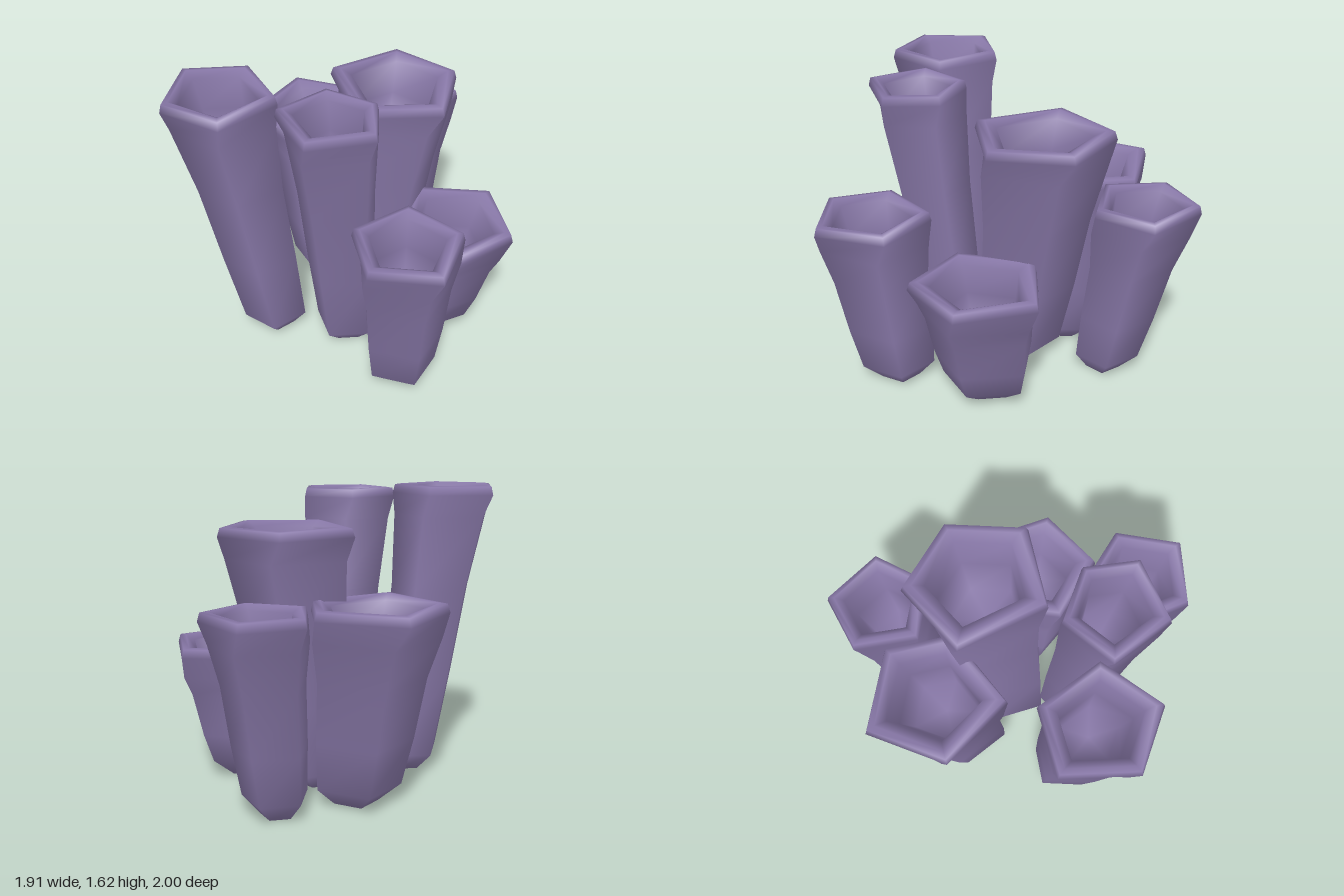
import * as THREE from 'three';
import { mergeVertices } from 'three/addons/utils/BufferGeometryUtils.js';

// Each tube: height, base centre [x, z], body scale, body twist in degrees, five lip corners [x, z]
const TUBES = [
  { name: 'tallLeftTube', h: 1.635, base: [-0.42, -0.17], k: 0.64, twist: 5,
    rim: [[-0.71, -0.53], [-0.40, -0.37], [-0.44, 0.0], [-0.80, 0.07], [-0.96, -0.24]] },
  { name: 'tallFrontTube', h: 1.61, base: [-0.12, 0.13], k: 0.66, twist: 8,
    rim: [[-0.49, 0.05], [-0.17, 0.01], [-0.03, 0.28], [-0.20, 0.52], [-0.53, 0.40]] },
  { name: 'centreTube', h: 1.45, base: [0.14, -0.1], k: 0.67, twist: 10,
    rim: [[0.12, -0.42], [0.56, -0.41], [0.685, -0.01], [0.37, 0.295], [-0.02, 0.07]] },
  { name: 'frontTube', h: 1.045, base: [-0.06, 0.565], k: 0.68, twist: 10,
    rim: [[-0.29, 0.43], [0.07, 0.42], [0.17, 0.77], [-0.13, 0.995], [-0.415, 0.76]] },
  { name: 'shortTube', h: 0.775, base: [0.355, 0.26], k: 0.7, twist: 8,
    rim: [[0.43, 0.0], [0.77, 0.27], [0.60, 0.67], [0.20, 0.67], [0.09, 0.28]] },
  { name: 'rightTube', h: 1.095, base: [0.57, -0.39], k: 0.65, twist: 8,
    rim: [[0.62, -0.75], [0.94, -0.67], [0.955, -0.31], [0.64, -0.2], [0.43, -0.46]] },
  { name: 'backTube', h: 1.095, base: [0.14, -0.45], k: 0.66, twist: 8,
    rim: [[0.22, -1.0], [0.505, -0.63], [0.32, -0.31], [-0.16, -0.35], [-0.19, -0.80]] },
];

function tubeGeometry({ h, base, k, twist, rim }) {
  const cx = rim.reduce((s, p) => s + p[0], 0) / 5;
  const cz = rim.reduce((s, p) => s + p[1], 0) / 5;
  // Wall from the foot up, over the lip and down into the hollow: [y, scale, share of twist]
  const rings = [
    [0.02, 0, 1], [0.02, k * 0.5, 1], [0.12, k * 0.95, 1], [h * 0.35, k + 0.06, 1],
    [h * 0.65, k + 0.13, 1], [h - 0.17, 0.92, 1], [h - 0.05, 1, 0], [h - 0.005, 0.96, 0],
    [h, 0.85, 0], [h - 0.03, 0.68, 0], [h - 0.2, 0.6, 0], [h - 0.42, 0.5, 0], [h - 0.45, 0, 0],
  ];
  const pos = [], index = [];
  rings.forEach(([y, s, share]) => {
    const t = Math.min(1, y / (h - 0.05));
    const ox = base[0] + (cx - base[0]) * t, oz = base[1] + (cz - base[1]) * t;
    const angle = THREE.MathUtils.degToRad(twist * share);
    const c = Math.cos(angle) * s, d = Math.sin(angle) * s;
    rim.forEach(([x, z]) => pos.push(
      ox + (x - cx) * c - (z - cz) * d, y, oz + (x - cx) * d + (z - cz) * c));
  });
  for (let r = 0; r < rings.length - 1; r++) {
    for (let i = 0; i < 5; i++) {
      const a = r * 5 + i, b = r * 5 + (i + 1) % 5;
      if (rings[r][1] > 0) index.push(a, a + 5, b);
      if (rings[r + 1][1] > 0) index.push(b, a + 5, b + 5);
    }
  }
  const g = new THREE.BufferGeometry();
  g.setAttribute('position', new THREE.Float32BufferAttribute(pos, 3));
  g.setIndex(index);
  const welded = mergeVertices(g, 1e-4);
  welded.computeVertexNormals();
  return welded;
}

export function createModel() {
  const group = new THREE.Group();
  group.name = 'tubeSponge';
  const purple = new THREE.MeshStandardMaterial({ color: 0x8878a8 });
  purple.name = 'dustyPurple';
  for (const tube of TUBES) {
    const mesh = new THREE.Mesh(tubeGeometry(tube), purple);
    mesh.name = tube.name;
    group.add(mesh);
  }
  return group;
}
